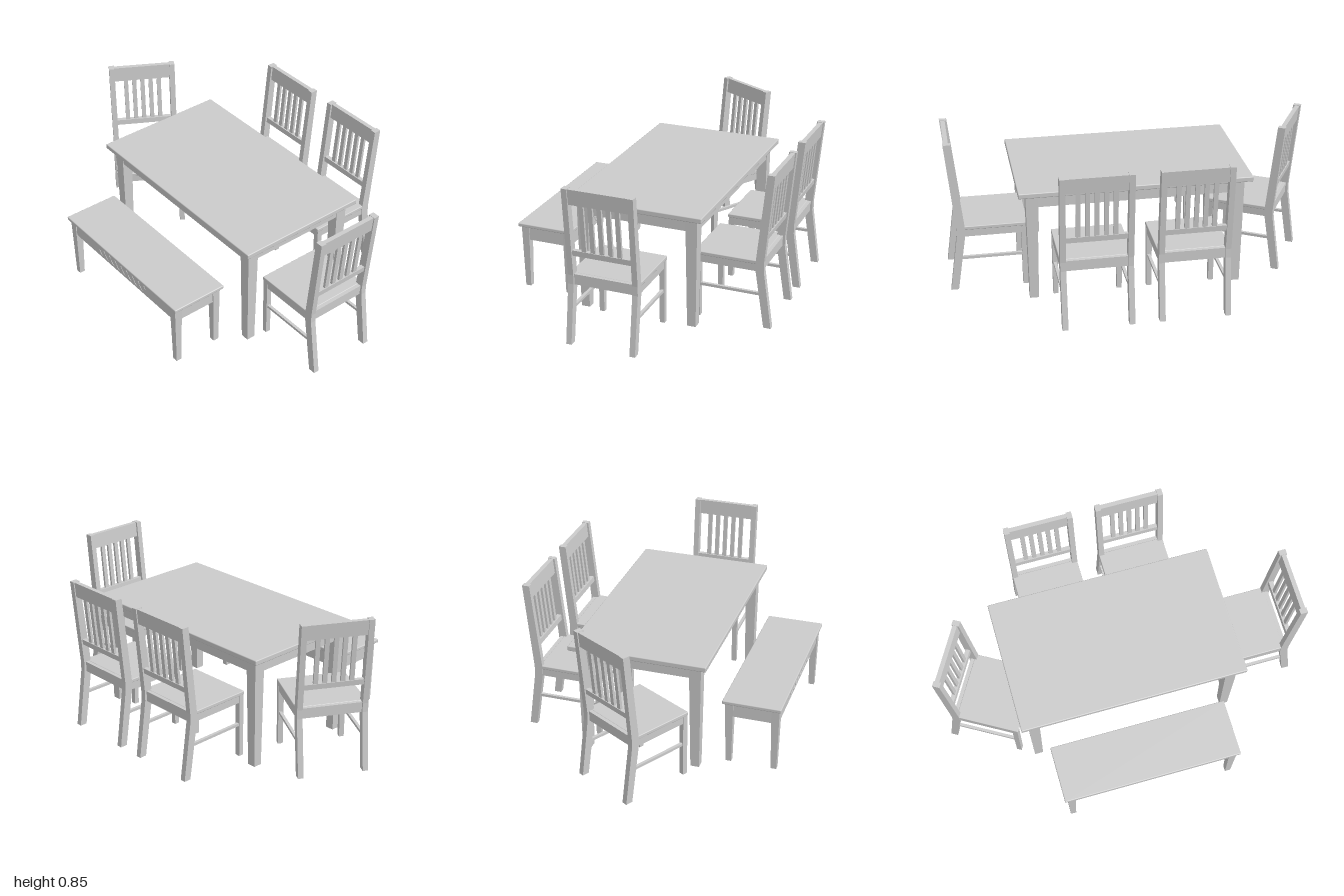
import * as THREE from 'three';
import { RoundedBoxGeometry } from 'three/addons/geometries/RoundedBoxGeometry.js';

const material = new THREE.MeshStandardMaterial({ color: 0xcccccc });

function add(parent, name, geometry, x = 0, y = 0, z = 0) {
  const mesh = new THREE.Mesh(geometry, material);
  mesh.name = name;
  mesh.position.set(x, y, z);
  parent.add(mesh);
  return mesh;
}

// Box given by its extents on each axis
function slab(parent, name, [x0, x1], [y0, y1], [z0, z1], round = 0) {
  const size = [x1 - x0, y1 - y0, z1 - z0];
  const geometry = round ? new RoundedBoxGeometry(...size, 2, round) : new THREE.BoxGeometry(...size);
  return add(parent, name, geometry, (x0 + x1) / 2, (y0 + y1) / 2, (z0 + z1) / 2);
}

// Square leg that narrows towards the foot
function taperedLeg(width, height, taper) {
  const geometry = new THREE.BoxGeometry(width, height, width).translate(0, height / 2, 0);
  const p = geometry.attributes.position;
  for (let i = 0; i < p.count; i++) {
    if (p.getY(i) < 0.001) p.setXYZ(i, p.getX(i) * taper, 0, p.getZ(i) * taper);
  }
  geometry.computeVertexNormals();
  return geometry;
}

// Top on a hollow apron frame with four legs, used for table and bench
function legFrame(name, { w, d, h, top, apron, insetX, insetZ, leg, taper }) {
  const group = new THREE.Group();
  group.name = name;
  const under = h - top, x = w / 2 - insetX, z = d / 2 - insetZ, t = 0.018, s = 0.006;
  slab(group, name + 'Top', [-w / 2, w / 2], [under, h], [-d / 2, d / 2], 0.005);
  for (const k of [-1, 1]) {
    const zc = k * (z - s - t / 2), xc = k * (x - s - t / 2);
    slab(group, 'longApron', [-x + leg / 2, x - leg / 2], [under - apron, under], [zc - t / 2, zc + t / 2]);
    slab(group, 'endApron', [xc - t / 2, xc + t / 2], [under - apron, under], [-z + leg / 2, z - leg / 2]);
    for (const j of [-1, 1]) {
      add(group, name + 'Leg', taperedLeg(leg, under, taper), k * (x - leg / 2), 0, j * (z - leg / 2));
    }
  }
  return group;
}

// Interlaced wave carving on the long bench aprons
function addCarving(bench, z) {
  for (const k of [-1, 1]) {
    const points = [];
    for (let i = 0; i <= 48; i++) {
      points.push(new THREE.Vector3(-0.21 + 0.42 * i / 48, 0.32 + k * 0.024 * Math.sin(i / 48 * Math.PI * 8), z));
    }
    add(bench, 'apronCarving', new THREE.TubeGeometry(new THREE.CatmullRomCurve3(points), 96, 0.002, 5));
  }
}

// Side profile extruded across x
function profile(points, width) {
  const shape = new THREE.Shape(points.map(([z, y]) => new THREE.Vector2(-z, y)));
  return new THREE.ExtrudeGeometry(shape, { depth: width, bevelEnabled: false })
    .translate(0, 0, -width / 2).rotateY(Math.PI / 2);
}

// Chair faces +z with its rearmost line at z = 0
function makeChair(x, z, turn) {
  const chair = new THREE.Group();
  chair.name = 'chair';
  const half = 0.19, depth = 0.425, leg = 0.03, px = half - leg / 2;
  const backZ = (y) => 0.045 * (0.85 - y) / 0.48;
  // Piece of the leaning back between two heights
  const leaning = (y0, y1, front, rear, width) => profile([
    [backZ(y0) + rear, y0], [backZ(y0) + front, y0], [backZ(y1) + front, y1], [backZ(y1) + rear, y1],
  ], width);

  // Seat over a hollow frame
  slab(chair, 'seat', [-half, half], [0.355, 0.375], [0.075, depth], 0.004);
  slab(chair, 'seatBackEdge', [-half + leg, half - leg], [0.355, 0.373], [0.055, 0.08]);
  slab(chair, 'frontSeatRail', [-px, px], [0.315, 0.357], [depth - 0.026, depth - 0.008]);
  slab(chair, 'backSeatRail', [-px, px], [0.315, 0.357], [0.058, 0.076]);

  for (const k of [-1, 1]) {
    // Bent rear post running from foot to top
    add(chair, 'rearPost', profile([
      [0, 0], [0.04, 0], [0.09, 0.32], [0.09, 0.37], [0.04, 0.85], [0, 0.85], [0.045, 0.37], [0.045, 0.32],
    ], leg), k * px);
    add(chair, 'frontLeg', taperedLeg(leg, 0.357, 0.9), k * (px - 0.002), 0, depth - 0.004 - leg / 2);
    const r = k * (px + 0.002);
    slab(chair, 'sideSeatRail', [r - 0.009, r + 0.009], [0.315, 0.357], [0.06, depth - 0.015]);
    slab(chair, 'sideStretcher', [k * px - 0.008, k * px + 0.008], [0.178, 0.193], [0.045, depth - 0.02]);
  }

  // Back rails and slats
  const span = 2 * (half - leg) + 0.01;
  add(chair, 'topRail', leaning(0.765, 0.848, 0.03, 0.006, span));
  add(chair, 'lowerRail', leaning(0.48, 0.51, 0.032, 0.008, span));
  for (let i = -2; i <= 2; i++) {
    add(chair, 'backSlat', leaning(0.5, 0.775, 0.026, 0.012, 0.024), i * 0.048);
  }
  chair.position.set(x, 0, z);
  chair.rotation.y = turn;
  return chair;
}

export function createModel() {
  const set = new THREE.Group();
  set.name = 'diningSet';

  const table = legFrame('table', {
    w: 1.25, d: 0.745, h: 0.638, top: 0.028, apron: 0.072, insetX: 0.04, insetZ: 0.037, leg: 0.064, taper: 0.74,
  });
  table.position.set(0.01, 0, -0.023);

  const bench = legFrame('bench', {
    w: 0.99, d: 0.315, h: 0.38, top: 0.02, apron: 0.08, insetX: 0.018, insetZ: 0.012, leg: 0.044, taper: 0.7,
  });
  for (const k of [-1, 1]) addCarving(bench, k * 0.14);
  bench.position.set(0.01, 0, 0.558);

  set.add(
    table, bench,
    makeChair(-0.24, -0.717, 0),
    makeChair(0.27, -0.717, 0),
    makeChair(0.997, 0.003, -Math.PI / 2),
    makeChair(-0.905, -0.112, Math.PI / 3),
  );
  return set;
}
